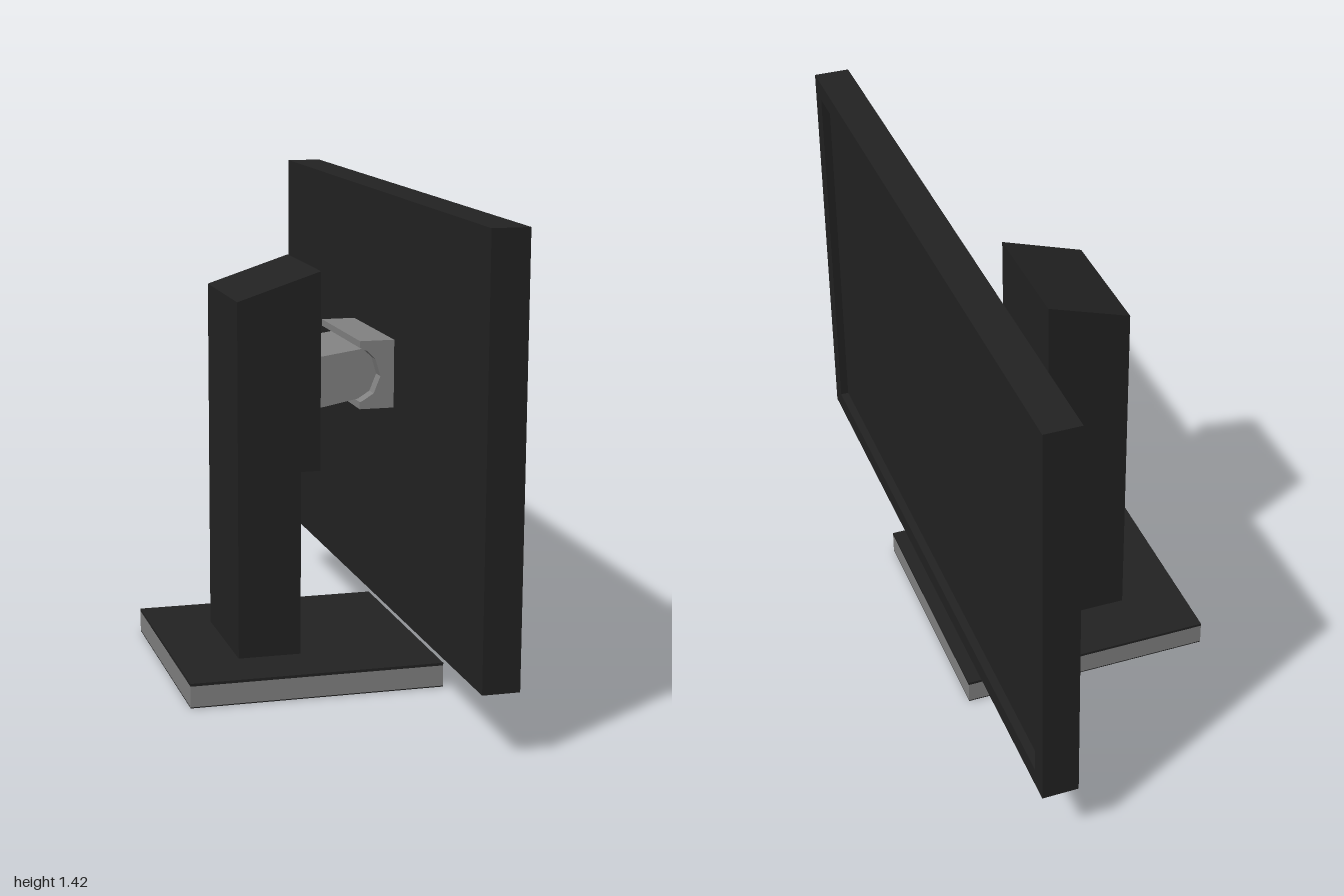
import * as THREE from 'three';

export function createModel() {
  const model = new THREE.Group();
  model.name = 'monitor';

  const black = new THREE.MeshStandardMaterial({ color: 0x222222 });
  black.name = 'black plastic';
  const grey = new THREE.MeshStandardMaterial({ color: 0x828282 });
  grey.name = 'grey metal';

  const add = (name, geometry, material, parent = model) => {
    const mesh = new THREE.Mesh(geometry, material);
    mesh.name = name;
    parent.add(mesh);
    return mesh;
  };

  // Box given by its lower and upper corners
  const box = (name, [x0, y0, z0], [x1, y1, z1], material, parent) =>
    add(name, new THREE.BoxGeometry(x1 - x0, y1 - y0, z1 - z0), material, parent)
      .position.set((x0 + x1) / 2, (y0 + y1) / 2, (z0 + z1) / 2);

  // Side profile in x and y, extruded evenly about z = 0
  const profile = (name, points, halfWidth, material, parent) => {
    const shape = new THREE.Shape(points.map(([x, y]) => new THREE.Vector2(x, y)));
    const geometry = new THREE.ExtrudeGeometry(shape, { depth: halfWidth * 2, bevelEnabled: false });
    add(name, geometry.translate(0, 0, -halfWidth), material, parent);
  };

  // Square foot: grey slab between a thin black top and underside
  const base = new THREE.Group();
  base.name = 'base';
  model.add(base);
  const b = 0.377;
  box('baseUnderside', [-b, 0, -b], [b, 0.003, b], black, base);
  box('baseSlab', [-b, 0.003, -b], [b, 0.065, b], grey, base);
  box('baseTop', [-b, 0.065, -b], [b, 0.073, b], black, base);

  // Column with an overhanging head and a sloping top
  profile('column', [
    [-0.192, 0.073], [-0.004, 0.073], [-0.004, 0.625], [0.055, 0.625],
    [0.055, 1.21], [-0.192, 1.13],
  ], 0.19, black);

  // Tilting arm with a rounded end, seated in a notched bracket
  const mount = new THREE.Group();
  mount.name = 'tiltMount';
  model.add(mount);
  const socket = [[0.175, 0.828], [0.21, 0.85], [0.23, 0.9], [0.215, 0.95], [0.19, 0.975]];
  profile('arm', [[0.05, 0.804], ...socket, [0.05, 0.955]], 0.162, grey, mount);
  profile('bracket', [
    [0.168, 0.805], [0.271, 0.805], [0.271, 1.005], [0.168, 1.005], [0.168, 0.985],
    ...socket.slice().reverse(), [0.168, 0.826],
  ], 0.205, grey, mount);

  // Display: frame with a window, and the slightly recessed panel inside it
  const display = new THREE.Group();
  display.name = 'display';
  model.add(display);
  const rect = (path, x0, y0, x1, y1) =>
    path.moveTo(x0, y0).lineTo(x1, y0).lineTo(x1, y1).lineTo(x0, y1).closePath();
  const recess = 0.025, back = 0.271, front = 0.377;
  const frame = rect(new THREE.Shape(), -1, 0.192, 1, 1.42);
  frame.holes.push(rect(new THREE.Path(), -0.943, 0.248, 0.943, 1.362));
  const frameGeometry = new THREE.ExtrudeGeometry(frame, { depth: front - back, bevelEnabled: false });
  add('frame', frameGeometry.rotateY(Math.PI / 2).translate(back, 0, 0), black, display);
  box('screenPanel', [back, 0.248, -0.943], [front - recess, 1.362, 0.943], black, display);

  return model;
}
